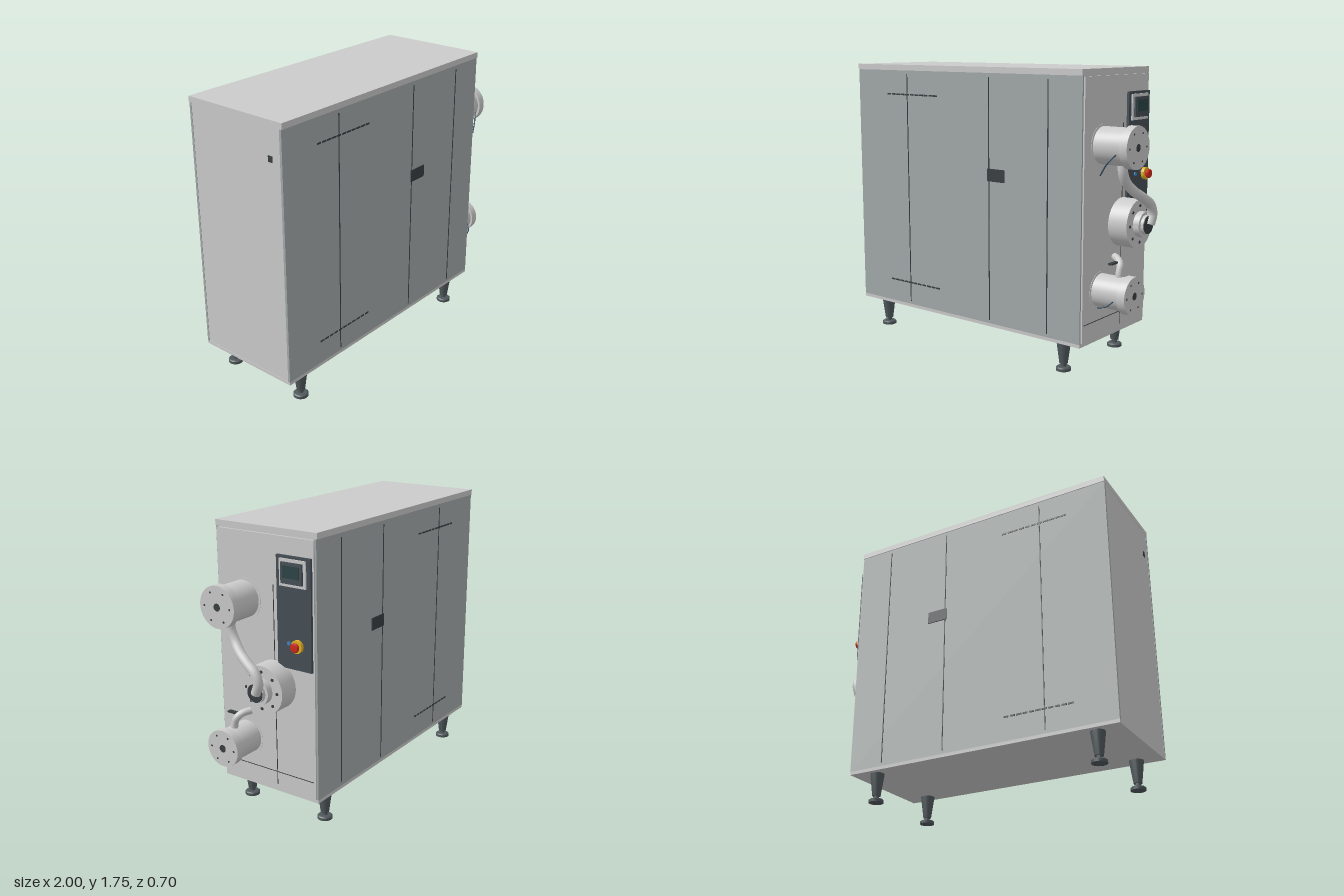
import * as THREE from 'three';
import { toCreasedNormals } from 'three/addons/utils/BufferGeometryUtils.js';

const mat = (color) => new THREE.MeshStandardMaterial({ color });
const LIGHT = mat(0xcccccc), PANEL = mat(0xa3aaa9), DARK = mat(0x3a3f42), FOOT = mat(0x50585b),
  CONSOLE = mat(0x464f57), SCREEN = mat(0x2c4446), RED = mat(0xd02a1c), YELLOW = mat(0xe0b020),
  BLUE = mat(0x3a86c8), CABLE = mat(0x2c465c);

export function createModel() {
  const model = new THREE.Group();

  const add = (name, geometry, material, parent = model) => {
    const mesh = new THREE.Mesh(geometry, material);
    mesh.name = name;
    parent.add(mesh);
    return mesh;
  };
  // Box given by its limits on each axis
  const box = (name, material, [x0, x1], [y0, y1], [z0, z1], parent = model) => {
    const mesh = add(name, new THREE.BoxGeometry(x1 - x0, y1 - y0, z1 - z0), material, parent);
    mesh.position.set((x0 + x1) / 2, (y0 + y1) / 2, (z0 + z1) / 2);
    return mesh;
  };
  // Turned part with crisp edges; profile is [radius, height]
  const turned = (profile, sides = 48) => toCreasedNormals(
    new THREE.LatheGeometry(profile.map(([r, h]) => new THREE.Vector2(r, h)), sides), 0.6);
  // Turned part lying along x; its heights are x positions
  const turnedX = (name, material, profile, y, z, parent = model, sides = 48) => {
    const mesh = add(name, turned(profile, sides), material, parent);
    mesh.rotation.z = -Math.PI / 2;
    mesh.position.set(0, y, z);
    return mesh;
  };
  const disc = (name, material, r, x0, x1, y, z, parent, sides = 24) =>
    turnedX(name, material, [[0, x0], [r, x0], [r, x1], [0, x1]], y, z, parent, sides);
  const tube = (name, material, points, r, parent = model) => {
    const curve = new THREE.CatmullRomCurve3(points.map((p) => new THREE.Vector3(...p)));
    add(name, new THREE.TubeGeometry(curve, 48, r, 16), material, parent);
    // Close both ends
    [0, 1].forEach((t) => {
      const cap = add(name + 'End', new THREE.CircleGeometry(r, 16), material, parent);
      const p = curve.getPointAt(t);
      cap.position.copy(p);
      cap.lookAt(p.clone().addScaledVector(curve.getTangentAt(t), t ? 1 : -1));
    });
  };

  // Cabinet
  box('cabinetBody', LIGHT, [-0.998, 0.757], [0.19, 1.71], [-0.34, 0.34]);
  box('baseTray', LIGHT, [-1, 0.76], [0.18, 0.2], [-0.345, 0.345]);
  box('lid', LIGHT, [-1, 0.76], [1.71, 1.745], [-0.35, 0.35]);
  box('endPanel', LIGHT, [0.755, 0.77], [0.205, 1.705], [-0.335, 0.335]);

  // Both long sides: panels, seams, vent slots and latch
  [['front', 1], ['back', -1]].forEach(([label, s]) => {
    const side = new THREE.Group();
    side.name = label + 'Side';
    model.add(side);
    const zr = (a, b) => (s > 0 ? [a, b] : [-b, -a]);
    box('sidePanel', PANEL, [-1, 0.76], [0.2, 1.71], zr(0.33, 0.345), side);
    [-0.565, 0.1, 0.53].forEach((x) =>
      box('panelSeam', DARK, [x - 0.003, x + 0.003], [0.22, 1.685], zr(0.34, 0.3475), side));
    [1.56, 0.345].forEach((y) => {
      for (let i = 0; i < 11; i++) {
        const x = -0.74 + i * 0.04;
        box('ventSlot', DARK, [x, x + 0.031], [y - 0.005, y + 0.005], zr(0.34, 0.348), side);
      }
    });
    box('latch', DARK, [0.09, 0.22], [1.075, 1.15], zr(0.34, 0.351), side);
  });
  box('rearSocket', DARK, [-1.002, -0.99], [1.515, 1.55], [0.245, 0.275]);

  // Seams on the service end
  box('endSeamUpright', DARK, [0.765, 0.772], [0.23, 1.43], [-0.062, -0.058]);
  box('endSeamLevel', DARK, [0.765, 0.772], [0.307, 0.311], [-0.32, 0.32]);

  // Tapered feet
  [-0.845, 0.605].forEach((x) => [-0.277, 0.277].forEach((z) => {
    const foot = add('foot', turned([[0, 0], [0.045, 0], [0.045, 0.016], [0.038, 0.022], [0.016, 0.024],
      [0.016, 0.042], [0.025, 0.042], [0.043, 0.175], [0.043, 0.182], [0, 0.182]], 32), FOOT);
    foot.position.set(x, 0, z);
  }));

  // Control console with display and buttons
  const consoleGroup = new THREE.Group();
  consoleGroup.name = 'controlConsole';
  model.add(consoleGroup);
  box('consolePlate', CONSOLE, [0.765, 0.785], [0.972, 1.607], [-0.325, -0.095], consoleGroup);
  box('displayBezel', LIGHT, [0.78, 0.793], [1.44, 1.592], [-0.297, -0.12], consoleGroup);
  box('displayHousing', CONSOLE, [0.785, 0.805], [1.458, 1.575], [-0.28, -0.138], consoleGroup);
  box('displayScreen', SCREEN, [0.8, 0.809], [1.49, 1.558], [-0.265, -0.153], consoleGroup);
  disc('stopButtonStem', DARK, 0.02, 0.78, 0.81, 1.12, -0.25, consoleGroup);
  disc('stopButtonCollar', YELLOW, 0.037, 0.803, 0.822, 1.12, -0.25, consoleGroup, 32);
  turnedX('stopButton', RED, [[0.018, 0.82], [0.026, 0.83], [0.028, 0.838], [0.024, 0.845], [0, 0.848]],
    1.12, -0.25, consoleGroup, 32);
  disc('indicator', BLUE, 0.011, 0.78, 0.793, 1.12, -0.175, consoleGroup);

  // Ring of bolt heads on a flange face
  const bolts = (parent, count, ring, r, x, y, z) => {
    for (let i = 0; i < count; i++) {
      const a = (i / count) * Math.PI * 2;
      disc('bolt', DARK, r, x - 0.005, x + 0.003, y + ring * Math.sin(a), z + ring * Math.cos(a), parent, 10);
    }
  };

  // Upper and lower flanged ports
  [['upperPort', 1.32, 0.15, 0.121, 0.107], ['lowerPort', 0.485, 0.153, 0.11, 0.097]]
    .forEach(([name, y, z, R, r]) => {
      const port = new THREE.Group();
      port.name = name;
      model.add(port);
      turnedX('portBody', LIGHT, [[R, 0.765], [R, 0.772], [r, 0.772], [r, 0.947], [R, 0.947],
        [R, 0.997], [0, 0.997]], y, z, port);
      disc('portCentre', DARK, 0.022, 0.99, 0.999, y, z, port);
      bolts(port, 6, R * 0.74, 0.006, 0.996, y, z);
    });

  // Middle port with stepped hub
  const middle = new THREE.Group();
  middle.name = 'middlePort';
  model.add(middle);
  turnedX('portBody', LIGHT, [[0.143, 0.765], [0.143, 0.893], [0.075, 0.893], [0.075, 0.932],
    [0.057, 0.932], [0.057, 0.95], [0, 0.95]], 0.853, -0.06, middle);
  disc('portCentre', DARK, 0.053, 0.945, 0.953, 0.853, -0.06, middle, 32);
  bolts(middle, 8, 0.108, 0.009, 0.894, 0.853, -0.06);

  // Pipes
  tube('connectingPipe', LIGHT, [[0.9, 1.24, 0.148], [0.9, 1.17, 0.142], [0.905, 1.11, 0.11],
    [0.925, 1.06, 0.06], [0.947, 1.015, -0.01], [0.957, 0.97, -0.07], [0.958, 0.915, -0.09],
    [0.955, 0.855, -0.07]], 0.029);
  tube('outletPipe', LIGHT, [[0.892, 0.56, 0.153], [0.892, 0.605, 0.147], [0.888, 0.645, 0.132],
    [0.86, 0.668, 0.11], [0.82, 0.676, 0.085]], 0.021);
  box('valveHandle', DARK, [0.855, 0.88], [0.655, 0.665], [0.1, 0.21]);

  // Thin sensor cables
  tube('upperCable', CABLE, [[0.92, 1.285, 0.255], [0.88, 1.235, 0.28], [0.845, 1.17, 0.292]], 0.004);
  tube('lowerCable', CABLE, [[0.915, 0.46, 0.245], [0.885, 0.432, 0.275], [0.84, 0.423, 0.292]], 0.004);

  return model;
}
